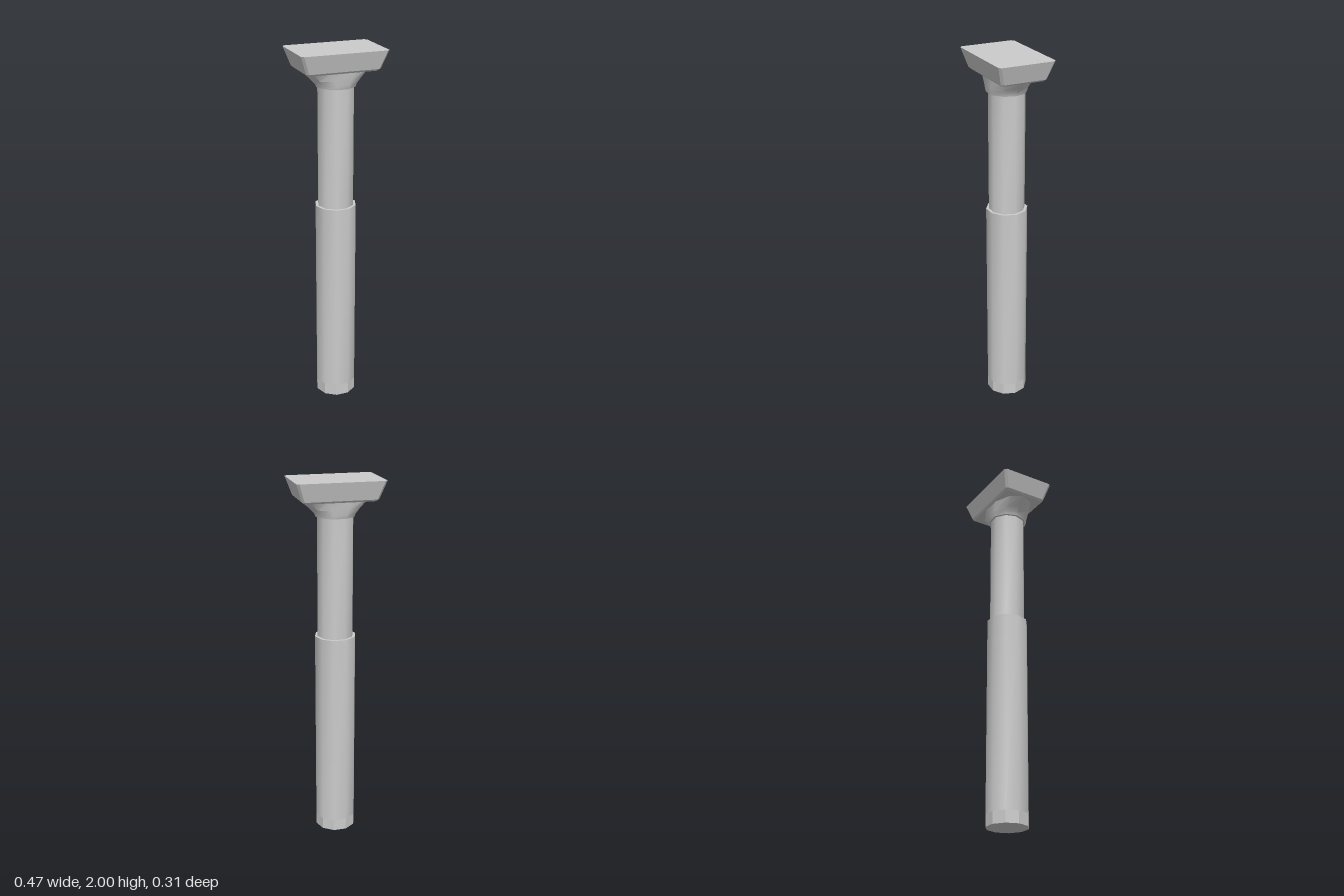
import * as THREE from 'three';
import { toCreasedNormals } from 'three/addons/utils/BufferGeometryUtils.js';

const smooth = new THREE.MeshStandardMaterial({ color: 0xcccccc });
const faceted = new THREE.MeshStandardMaterial({ color: 0xcccccc, flatShading: true });
const SIDES = 10;

// Ten-sided ring of corners with a corner on +x
function ring(y, rx, rz = rx) {
  return Array.from({ length: SIDES }, (_, i) => {
    const a = (i / SIDES) * Math.PI * 2;
    return [rx * Math.cos(a), y, rz * Math.sin(a)];
  });
}

// Rectangle with clipped corners
function clippedRect(y, hx, hz, c) {
  return [[hx, hz - c], [hx - c, hz], [c - hx, hz], [-hx, hz - c],
    [-hx, c - hz], [c - hx, -hz], [hx - c, -hz], [hx, c - hz]].map(([x, z]) => [x, y, z]);
}

// Skin stacked rings from bottom to top, with optional end caps
function loft(rings, capBottom = false, capTop = false) {
  const n = rings[0].length;
  const pos = [];
  const idx = [];
  rings.forEach((r) => r.forEach((p) => pos.push(...p)));
  for (let k = 0; k < rings.length - 1; k++) {
    for (let i = 0; i < n; i++) {
      const a = k * n + i, b = k * n + (i + 1) % n;
      idx.push(a, a + n, b, b, a + n, b + n);
    }
  }
  const top = (rings.length - 1) * n;
  for (let i = 1; i < n - 1; i++) {
    if (capBottom) idx.push(0, i, i + 1);
    if (capTop) idx.push(top, top + i + 1, top + i);
  }
  const g = new THREE.BufferGeometry();
  g.setAttribute('position', new THREE.Float32BufferAttribute(pos, 3));
  g.setIndex(idx);
  return g;
}

export function createModel() {
  const model = new THREE.Group();
  const add = (name, geometry, material = smooth) => {
    const g = material === smooth ? toCreasedNormals(geometry, 0.72) : geometry;
    const mesh = new THREE.Mesh(g, material);
    mesh.name = name;
    model.add(mesh);
  };

  // Faceted foot band and the thick lower sleeve with its shoulder
  add('footBand', loft([ring(0, 0.113), ring(0.065, 0.113)], true), faceted);
  add('lowerSleeve', loft([ring(0.065, 0.113), ring(1.155, 0.113), ring(1.155, 0.098)]));

  // Slimmer upper shaft
  add('upperShaft', loft([ring(1.155, 0.098), ring(1.81, 0.098)]));

  // Collar flaring sideways into the underside of the head
  add('flaredCollar', loft([
    ring(1.805, 0.097), ring(1.807, 0.107), ring(1.823, 0.112),
    ring(1.85, 0.138, 0.113), ring(1.898, 0.19, 0.118),
  ]));

  // Tapered block head with clipped corners and a small lower bevel
  add('head', loft([
    clippedRect(1.893, 0.19, 0.119, 0.012),
    clippedRect(1.903, 0.202, 0.128, 0.012),
    clippedRect(2, 0.236, 0.156, 0.013),
  ], true, true), faceted);

  return model;
}
